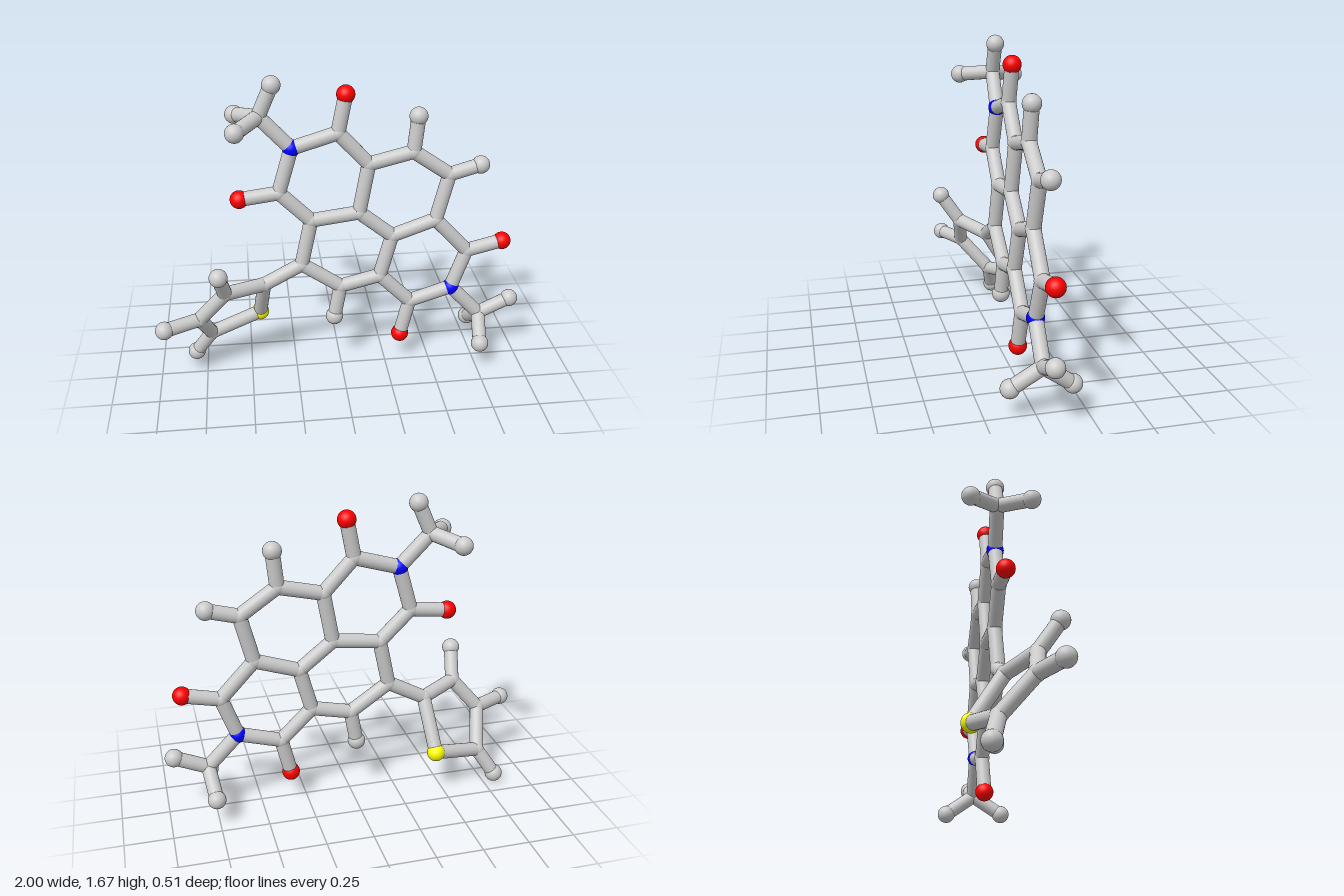
import * as THREE from 'three';

const BOND_RADIUS = 0.038;

// Atoms of the flat fused ring core lie on one slightly tilted plane
const planeZ = (x, y) => -0.008 - 0.033 * y - 0.015 * x;

// element: [part name, radius, colour]
const ELEMENTS = {
  C: ['carbonAtom', 0.041, 0xcccccc],
  H: ['hydrogenAtom', 0.048, 0xcccccc],
  O: ['oxygenAtom', 0.048, 0xff0000],
  N: ['nitrogenAtom', 0.046, 0x0000ff],
  S: ['sulfurAtom', 0.048, 0xffff00],
};

// key: [x, y, z]; z is taken from the core plane when left out
const ATOMS = {
  // fused ring core
  C1: [-0.01, 1.37], N1: [-0.25, 1.30], C2: [-0.32, 1.06], C3: [-0.155, 0.895],
  C4: [0.10, 0.925], C5: [0.15, 1.195], C6: [0.385, 1.25], C7: [0.58, 1.115],
  C8: [0.515, 0.86], C9: [0.28, 0.78], C10: [0.215, 0.545], C11: [0, 0.495],
  C12: [-0.21, 0.64], C13: [0.695, 0.665], N2: [0.615, 0.445], C14: [0.385, 0.375],
  // oxygen and hydrogen tips of the core
  O1: [0.03, 1.57], O2: [-0.525, 1.035], O3: [0.89, 0.71], O4: [0.335, 0.17],
  H1: [0.405, 1.44], H2: [0.745, 1.16], H3: [-0.035, 0.31],
  // upper methyl group
  C15: [-0.41, 1.47, -0.06], H4: [-0.34, 1.63, -0.06],
  H5: [-0.53, 1.445, 0.10], H6: [-0.53, 1.435, -0.21],
  // lower methyl group
  C16: [0.78, 0.27, -0.025], H7: [0.955, 0.35, -0.03],
  H8: [0.76, 0.165, 0.13], H9: [0.76, 0.155, -0.18],
  // twisted five-sided ring
  C17: [-0.415, 0.53, -0.025], C18: [-0.625, 0.555, 0.095], C19: [-0.77, 0.385, 0.06],
  C20: [-0.715, 0.20, -0.10], S1: [-0.44, 0.265, -0.185],
  H10: [-0.65, 0.71, 0.20], H11: [-0.95, 0.385, 0.15], H12: [-0.81, 0.055, -0.14],
};

// Each chain joins neighbouring atoms
const CHAINS = [
  'C1 N1 C2 C3 C4 C5 C1', 'C5 C6 C7 C8 C9 C4', 'C9 C10 C11 C12 C3',
  'C8 C13 N2 C14 C10', 'C1 O1', 'C2 O2', 'C13 O3', 'C14 O4',
  'C6 H1', 'C7 H2', 'C11 H3',
  'N1 C15 H4', 'H5 C15 H6', 'N2 C16 H7', 'H8 C16 H9',
  'C12 C17 C18 C19 C20 S1 C17', 'C18 H10', 'C19 H11', 'C20 H12',
];

export function createModel() {
  const model = new THREE.Group();
  model.name = 'molecule';
  const atoms = new THREE.Group();
  atoms.name = 'atoms';
  const bonds = new THREE.Group();
  bonds.name = 'bonds';
  model.add(atoms, bonds);

  // One shared ball and material per element
  const kit = {};
  for (const [key, [name, radius, color]] of Object.entries(ELEMENTS)) {
    kit[key] = {
      name,
      geometry: new THREE.SphereGeometry(radius, 28, 20),
      material: new THREE.MeshStandardMaterial({ color }),
    };
  }

  // Balls
  const position = {};
  for (const [key, [x, y, z = planeZ(x, y)]] of Object.entries(ATOMS)) {
    const { name, geometry, material } = kit[key[0]];
    const ball = new THREE.Mesh(geometry, material);
    ball.name = name;
    ball.position.set(x, y, z);
    position[key] = ball.position;
    atoms.add(ball);
  }

  // Rods, running from ball centre to ball centre
  const up = new THREE.Vector3(0, 1, 0);
  function addBond(a, b) {
    const along = b.clone().sub(a);
    const length = along.length();
    const rod = new THREE.Mesh(
      new THREE.CylinderGeometry(BOND_RADIUS, BOND_RADIUS, length, 24, 1, true),
      kit.C.material,
    );
    rod.name = 'bond';
    rod.position.copy(a).add(b).multiplyScalar(0.5);
    rod.quaternion.setFromUnitVectors(up, along.divideScalar(length));
    bonds.add(rod);
  }
  for (const chain of CHAINS) {
    const keys = chain.split(' ');
    for (let i = 1; i < keys.length; i++) addBond(position[keys[i - 1]], position[keys[i]]);
  }

  return model;
}
